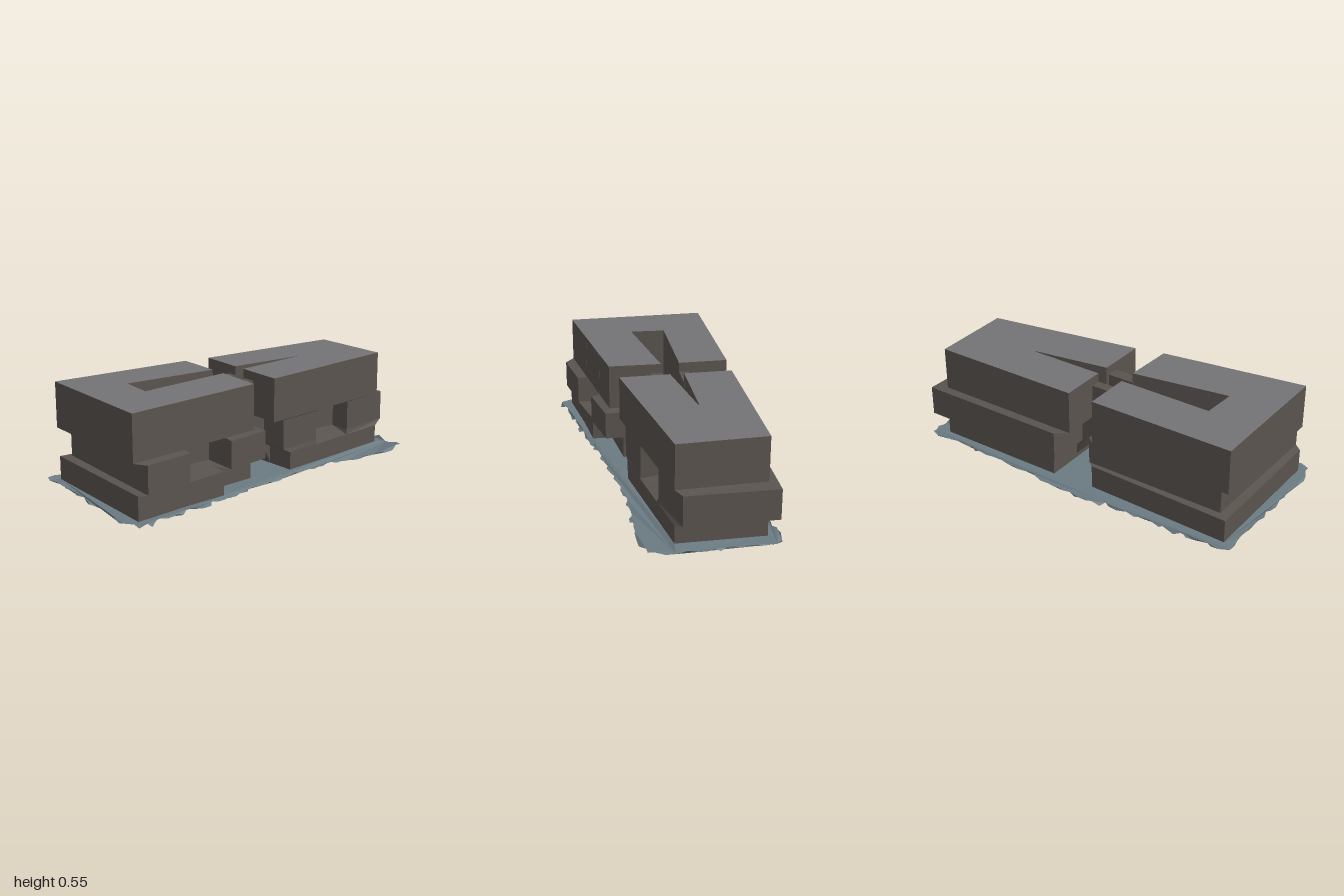
import * as THREE from 'three';

const paint = (color) => new THREE.MeshStandardMaterial({ color, side: THREE.DoubleSide, flatShading: true });
const wallMat = paint(0x5a544f);
const roofMat = paint(0x747375);
const groundMat = paint(0x6b7a82);

function add(group, name, geometry, material) {
  const mesh = new THREE.Mesh(geometry, material);
  mesh.name = name;
  group.add(mesh);
  return mesh;
}

// Skin between stacked plan outlines: rings = [[height, [[x, z], ...]], ...]
function loft(rings, flip) {
  const pos = [];
  for (let r = 0; r + 1 < rings.length; r++) {
    const [y0, lo] = rings[r], [y1, hi] = rings[r + 1];
    for (let i = 0; i < lo.length; i++) {
      const j = (i + 1) % lo.length;
      const a = [lo[i][0], y0, lo[i][1]], b = [lo[j][0], y0, lo[j][1]];
      const c = [hi[j][0], y1, hi[j][1]], d = [hi[i][0], y1, hi[i][1]];
      pos.push(...(flip ? [a, b, c, a, c, d] : [a, c, b, a, d, c]).flat());
    }
  }
  const g = new THREE.BufferGeometry();
  g.setAttribute('position', new THREE.Float32BufferAttribute(pos, 3));
  g.computeVertexNormals();
  return g;
}

const toVectors = (plan) => plan.map(([x, z]) => new THREE.Vector2(x, -z));

// Flat horizontal sheet from a plan outline
function sheet(plan, y, holes = []) {
  const shape = new THREE.Shape(toVectors(plan));
  shape.holes = holes.map((h) => new THREE.Path(toVectors(h)));
  return new THREE.ShapeGeometry(shape).rotateX(-Math.PI / 2).translate(0, y, 0);
}

// Outlines run: back outer, back inner, four courtyard corners, front inner,
// four window recess corners, front outer.
const west = {
  ground: [[-.92, -.38], [-.1, -.36], [-.1, -.115], [-.1, -.09], [-.1, -.04], [-.1, -.015],
    [-.1, .2], [-.37, .23], [-.37, .24], [-.37, .34], [-.61, .365], [-.92, .41]],
  middle: [[-.87, -.34], [-.07, -.34], [-.07, -.115], [-.65, -.12], [-.66, .07], [-.07, -.02],
    [-.075, .3], [-.33, .35], [-.33, .15], [-.61, .15], [-.61, .395], [-.88, .44]],
  upper: [[-.93, -.38], [-.12, -.38], [-.12, -.115], [-.65, -.12], [-.66, .07], [-.12, -.015],
    [-.13, .27], [-.33, .3], [-.33, .301], [-.61, .341], [-.61, .342], [-.93, .39]],
};
const east = {
  ground: [[.89, -.375], [.14, -.375], [.14, -.11], [.14, -.09], [.14, -.07], [.14, -.04],
    [.16, .213], [.37, .178], [.38, .176], [.63, .134], [.64, .132], [.89, .09]],
  middle: [[.96, -.42], [.1, -.42], [.1, -.11], [.1, -.09], [.1, -.07], [.1, -.04],
    [.11, .215], [.37, .175], [.37, 0], [.64, 0], [.64, .125], [.955, .06]],
  upper: [[.88, -.375], [.03, -.375], [.03, -.115], [.46, -.112], [.46, -.108], [.03, -.04],
    [.03, .235], [.37, .178], [.371, .178], [.64, .132], [.641, .132], [.895, .09]],
};

export function createModel() {
  const model = new THREE.Group();
  model.name = 'building';

  // West block: stacked storeys with a deep courtyard
  const westBlock = new THREE.Group();
  westBlock.name = 'westBlock';
  add(westBlock, 'westStoreys', loft([[.015, west.ground], [.145, west.ground], [.15, west.middle],
    [.3, west.middle], [.305, west.upper], [.552, west.upper]], false), wallMat);
  add(westBlock, 'westRoof', sheet(west.upper, .552), roofMat);
  // Raised part of the courtyard floor, next to the bridge
  add(westBlock, 'courtyardStep', new THREE.BoxGeometry(.24, .2, .13).translate(-.21, .27, -.06), wallMat);

  // East block: its roof slot rises as a ramp to a point
  const eastBlock = new THREE.Group();
  eastBlock.name = 'eastBlock';
  const rampFoot = east.upper.map((p, i) => (i === 3 ? [.08, -.113] : i === 4 ? [.08, -.05] : p));
  add(eastBlock, 'eastStoreys', loft([[.015, east.ground], [.115, east.ground], [.14, east.middle],
    [.305, east.middle], [.31, rampFoot], [.55, east.upper]], true), wallMat);
  add(eastBlock, 'eastRoof', sheet(east.upper, .55), roofMat);

  // Bridge over the arched passage, with a parapet on each side
  const bridge = new THREE.Group();
  bridge.name = 'bridge';
  const arch = new THREE.Shape();
  arch.moveTo(-.13, .015);
  arch.lineTo(-.1, .015);
  arch.lineTo(-.08, .13);
  arch.quadraticCurveTo(-.05, .21, 0, .212);
  arch.quadraticCurveTo(.04, .215, .07, .165);
  arch.lineTo(.14, .04);
  arch.lineTo(.145, .015);
  arch.lineTo(.17, .015);
  arch.lineTo(.1, .3);
  arch.lineTo(.06, .38);
  arch.lineTo(-.13, .38);
  add(bridge, 'archedPassage', new THREE.ExtrudeGeometry(arch,
    { depth: .22, bevelEnabled: false, curveSegments: 6 }).translate(0, 0, -.17), wallMat);
  for (const [z, depth] of [[-.142, .056], [.015, .07]]) {
    add(bridge, 'parapet', new THREE.BoxGeometry(.17, .13, depth).translate(-.045, .435, z), wallMat);
  }

  // Ragged ground sheet, open under both blocks
  let seed = 7;
  const rand = () => (seed = (seed * 16807) % 2147483647) / 2147483647 - .5;
  const corners = [[-.96, -.44], [-.25, -.45], [-.18, -.475], [.15, -.47], [.25, -.44], [.96, -.43],
    [.985, -.3], [.98, .12], [.95, .22], [.86, .265], [.45, .255], [0, .305], [-.5, .395], [-.88, .47],
    [-.95, .46], [-.985, .38], [-.975, -.4]];
  const edge = [];
  corners.forEach(([x, z], i) => {
    const [nx, nz] = corners[(i + 1) % corners.length];
    const n = Math.max(1, Math.round(Math.hypot(nx - x, nz - z) / .035));
    for (let k = 0; k < n; k++) {
      edge.push([x + (nx - x) * k / n + rand() * .025, z + (nz - z) * k / n + rand() * .025]);
    }
  });
  const ground = sheet(edge, .017, [west.ground, east.ground]);
  const p = ground.attributes.position;
  for (let i = 0; i < edge.length; i++) p.setY(i, .015 + rand() * .02);
  ground.computeVertexNormals();
  add(model, 'groundSheet', ground, groundMat);

  model.add(westBlock, eastBlock, bridge);
  return model;
}
